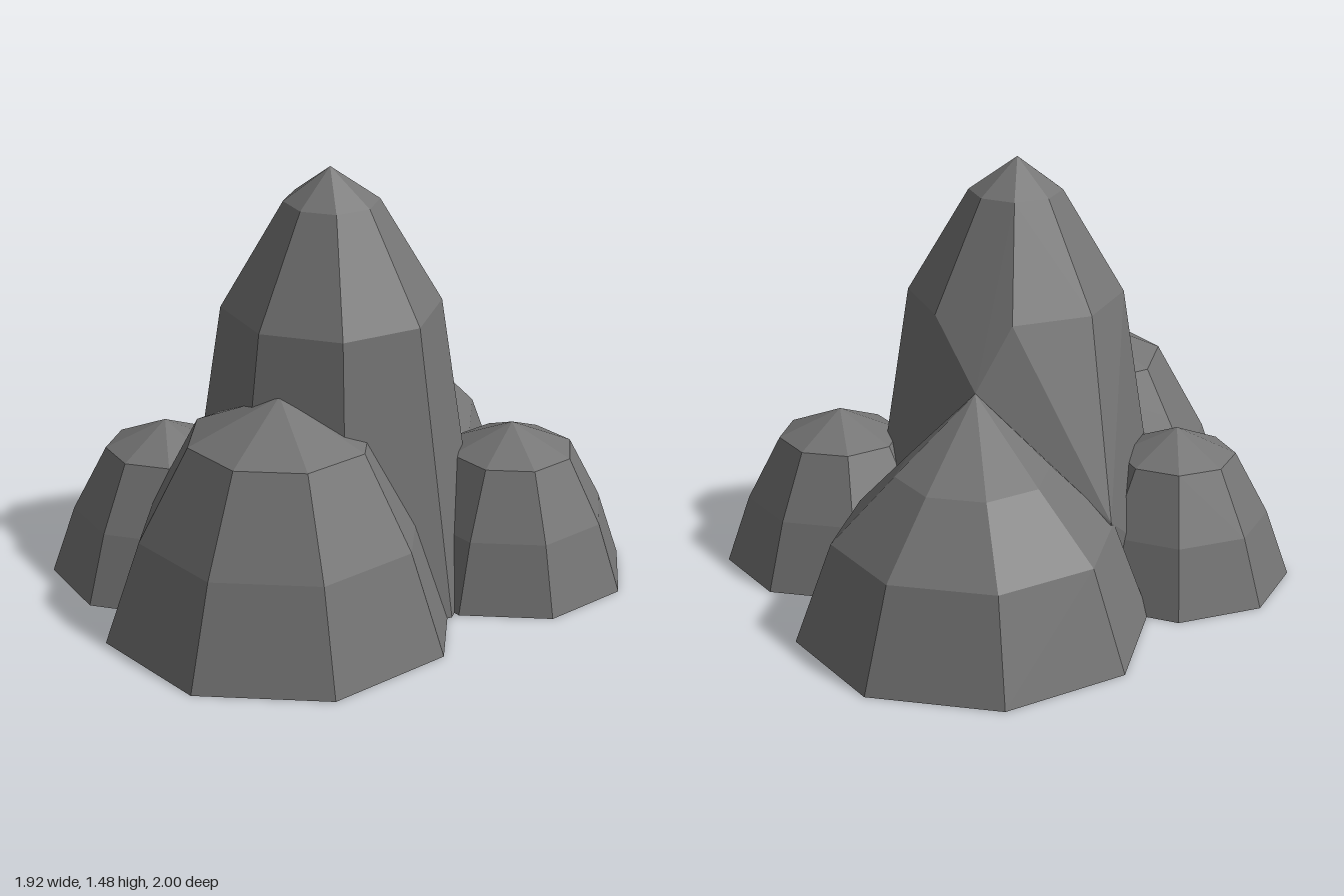
import * as THREE from 'three';
import { ConvexGeometry } from 'three/addons/geometries/ConvexGeometry.js';

const EPS = 1e-4;

// Each rock: centre, angle of its first corner, [radius, height] rings, and single points.
const rocks = [
  { name: 'centralPeak', x: -0.05, z: 0.14, turn: 12,
    rings: [[0.52, 0], [0.37, 1.0], [0.16, 1.36]],
    points: [[-0.055, 1.475, 0.14], [0.16, 0.79, -0.27], [-0.27, 0.36, -0.43]] },
  { name: 'frontRock', x: -0.31, z: 0.4, turn: 0,
    rings: [[0.6, 0], [0.48, 0.345], [0.31, 0.66]],
    points: [[-0.31, 0.8, 0.4]] },
  { name: 'backRock', x: 0.19, z: -0.4, turn: 0,
    rings: [[0.6, 0], [0.475, 0.345], [0.26, 0.57]],
    points: [[0.16, 0.79, -0.27]] },
  { name: 'smallLeftRock', x: 0.55, z: 0.28, turn: 0,
    rings: [[0.41, 0], [0.33, 0.235], [0.215, 0.455]],
    points: [[0.55, 0.55, 0.28]] },
  { name: 'smallRightRock', x: -0.57, z: -0.1, turn: 11,
    rings: [[0.4, 0], [0.32, 0.235], [0.205, 0.455]],
    points: [[-0.57, 0.55, -0.1]] },
];

// Eight-sided convex rock as triangles and planes, with its underside left open
function buildHull({ x, z, turn, rings, points }) {
  const pts = points.map((p) => new THREE.Vector3(...p));
  for (const [r, y] of rings) {
    for (let i = 0; i < 8; i++) {
      const a = THREE.MathUtils.degToRad(turn + i * 45);
      pts.push(new THREE.Vector3(x + r * Math.cos(a), y, z + r * Math.sin(a)));
    }
  }
  const pos = new ConvexGeometry(pts).getAttribute('position');
  const faces = [];
  const planes = [];
  for (let i = 0; i < pos.count; i += 3) {
    const tri = [0, 1, 2].map((k) => new THREE.Vector3().fromBufferAttribute(pos, i + k));
    const plane = new THREE.Plane().setFromCoplanarPoints(...tri);
    if (plane.normal.y < -0.9) continue;
    faces.push(tri);
    const known = planes.some((p) => p.normal.distanceTo(plane.normal) < 1e-3
      && Math.abs(p.constant - plane.constant) < 1e-3);
    if (!known) planes.push(plane);
  }
  return { faces, planes };
}

// Split a polygon into the parts in front of and behind a plane
function split(poly, plane) {
  const front = [];
  const back = [];
  const d = poly.map((p) => plane.distanceToPoint(p));
  if (d.every((v) => v > -EPS)) return [poly, []];
  if (d.every((v) => v < EPS)) return [[], poly];
  poly.forEach((p, i) => {
    const j = (i + 1) % poly.length;
    if (d[i] >= 0) front.push(p);
    if (d[i] <= 0) back.push(p);
    if (d[i] * d[j] < 0) {
      const cut = p.clone().lerp(poly[j], d[i] / (d[i] - d[j]));
      front.push(cut);
      back.push(cut);
    }
  });
  return [front, back];
}

// Keep only the parts of a polygon outside a convex rock
function subtract(poly, planes) {
  const kept = [];
  let rest = poly;
  for (const plane of planes) {
    const [front, back] = split(rest, plane);
    if (front.length > 2) kept.push(front);
    rest = back;
    if (rest.length < 3) return [poly];
  }
  return kept;
}

export function createModel() {
  const group = new THREE.Group();
  group.name = 'rockFormation';
  const stone = new THREE.MeshStandardMaterial({
    color: 0x747474, flatShading: true, side: THREE.DoubleSide,
  });
  stone.name = 'grey stone';

  const hulls = rocks.map(buildHull);
  rocks.forEach((rock, n) => {
    // Trim away whatever is buried in the neighbouring rocks
    let polys = hulls[n].faces;
    hulls.forEach((other, m) => {
      if (m !== n) polys = polys.flatMap((p) => subtract(p, other.planes));
    });
    const verts = [];
    for (const p of polys) {
      for (let i = 1; i < p.length - 1; i++) verts.push(p[0], p[i], p[i + 1]);
    }
    const geometry = new THREE.BufferGeometry().setFromPoints(verts);
    geometry.computeVertexNormals();
    const mesh = new THREE.Mesh(geometry, stone);
    mesh.name = rock.name;
    group.add(mesh);
  });
  return group;
}
